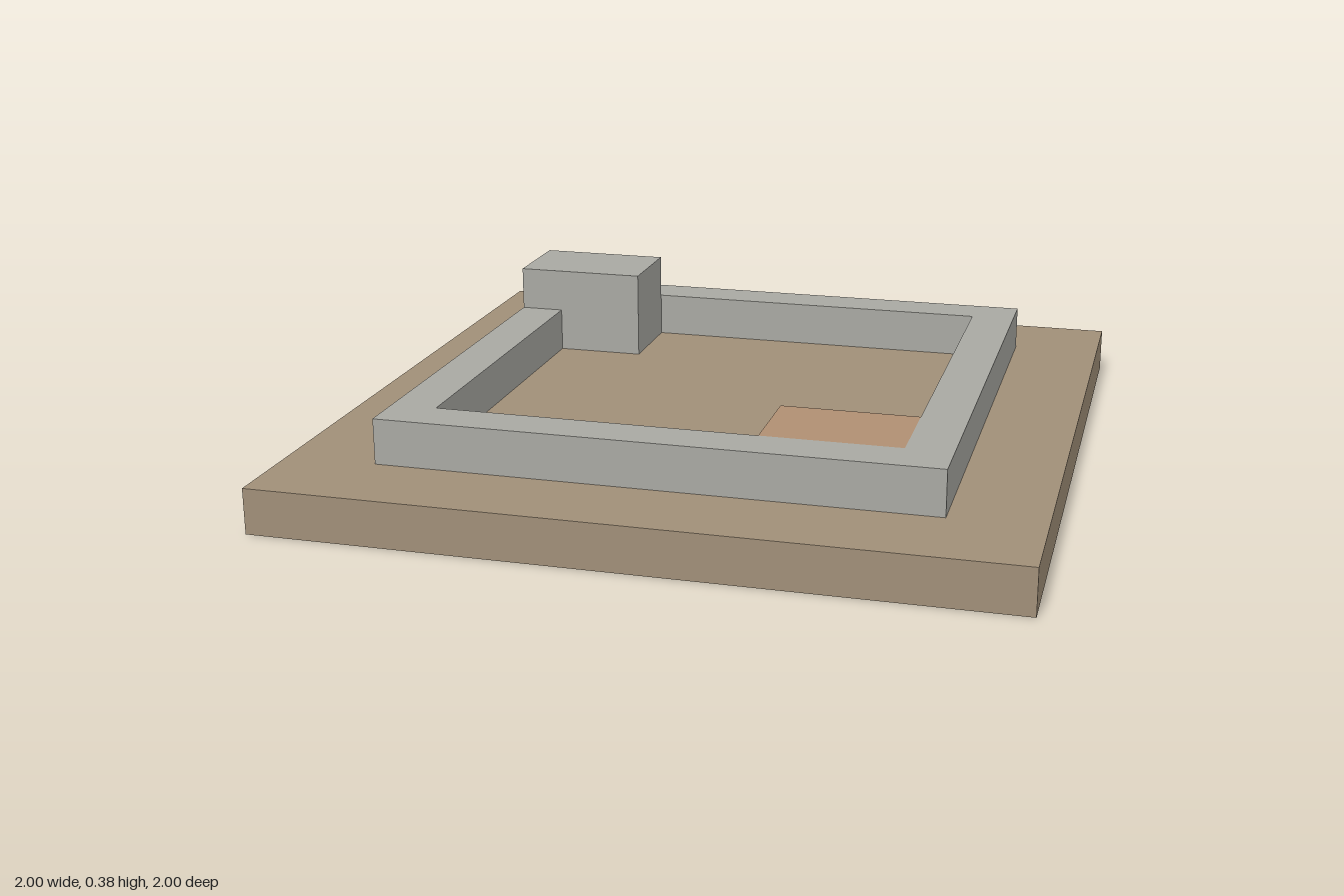
import * as THREE from 'three';

// Plan points are [x, z]; wall paths run so that the outside is on their right-hand face.
const square = (s) => [[-s, s], [s, s], [s, -s], [-s, -s], [-s, s]];

// Upright faces following a path between two heights
function walls(name, path, y0, y1, material) {
  const pos = [];
  for (let i = 0; i + 1 < path.length; i++) {
    const [ax, az] = path[i], [bx, bz] = path[i + 1];
    pos.push(ax, y0, az, bx, y0, bz, bx, y1, bz, ax, y0, az, bx, y1, bz, ax, y1, az);
  }
  const geometry = new THREE.BufferGeometry();
  geometry.setAttribute('position', new THREE.Float32BufferAttribute(pos, 3));
  geometry.computeVertexNormals();
  const mesh = new THREE.Mesh(geometry, material);
  mesh.name = name;
  return mesh;
}

// Level face with an outline and an optional hole
function cap(name, outline, y, material, hole) {
  const points = (list) => list.map(([x, z]) => new THREE.Vector2(x, -z));
  const shape = new THREE.Shape(points(outline));
  if (hole) shape.holes.push(new THREE.Path(points(hole)));
  const geometry = new THREE.ShapeGeometry(shape);
  geometry.rotateX(-Math.PI / 2).translate(0, y, 0);
  const mesh = new THREE.Mesh(geometry, material);
  mesh.name = name;
  return mesh;
}

function part(name, ...meshes) {
  const group = new THREE.Group();
  group.name = name;
  group.add(...meshes);
  return group;
}

export function createModel() {
  const paint = (color) => new THREE.MeshStandardMaterial({ color, side: THREE.DoubleSide });
  const earth = paint(0xa08f78), stone = paint(0xa8a8a2), clay = paint(0xb08f72);
  const ground = 0.125, wallTop = 0.25, towerTop = 0.375;
  const outer = 0.75, inner = 0.625;

  // Ground slab: open underneath and hollow below the walls
  const slab = part('groundSlab',
    walls('slabSides', square(1), 0, ground, earth),
    cap('outerGround', square(1), ground, earth, square(outer)),
    cap('courtyardFloor', [
      [-0.375, -inner], [inner, -inner], [inner, 0.375], [0.25, 0.375],
      [0.25, inner], [-inner, inner], [-inner, -0.375], [-0.375, -0.375],
    ], ground, earth));

  // Low enclosing wall
  const enclosure = part('enclosureWall',
    walls('wallOutside', square(outer), ground, wallTop, stone),
    walls('wallInsideBackLeft', [[-0.375, -inner], [inner, -inner], [inner, 0.375]], ground, wallTop, stone),
    walls('wallInsideFrontRight', [[0.25, inner], [-inner, inner], [-inner, -0.375]], ground, wallTop, stone),
    cap('wallTop', [
      [-outer, -inner], [-outer, -outer], [outer, -outer], [outer, outer], [-outer, outer],
      [-outer, -0.375], [-inner, -0.375], [-inner, inner], [inner, inner], [inner, -inner],
    ], wallTop, stone));

  // Raised tower block in the back right corner
  const footprint = [[-outer, -0.375], [-0.375, -0.375], [-0.375, -inner], [-outer, -inner], [-outer, -0.375]];
  const tower = part('cornerTower',
    walls('towerLowerSides', [[-inner, -0.375], [-0.375, -0.375], [-0.375, -inner]], ground, wallTop, stone),
    walls('towerUpperSides', footprint, wallTop, towerTop, stone),
    cap('towerTop', footprint, towerTop, stone));

  // Clay block level with the wall in the front left corner
  const block = part('clayBlock',
    walls('blockSides', [[inner, 0.375], [0.25, 0.375], [0.25, inner]], ground, wallTop, clay),
    cap('blockTop', [[0.25, 0.375], [inner, 0.375], [inner, inner], [0.25, inner]], wallTop, clay));

  return part('walledCourtyard', slab, enclosure, tower, block);
}
